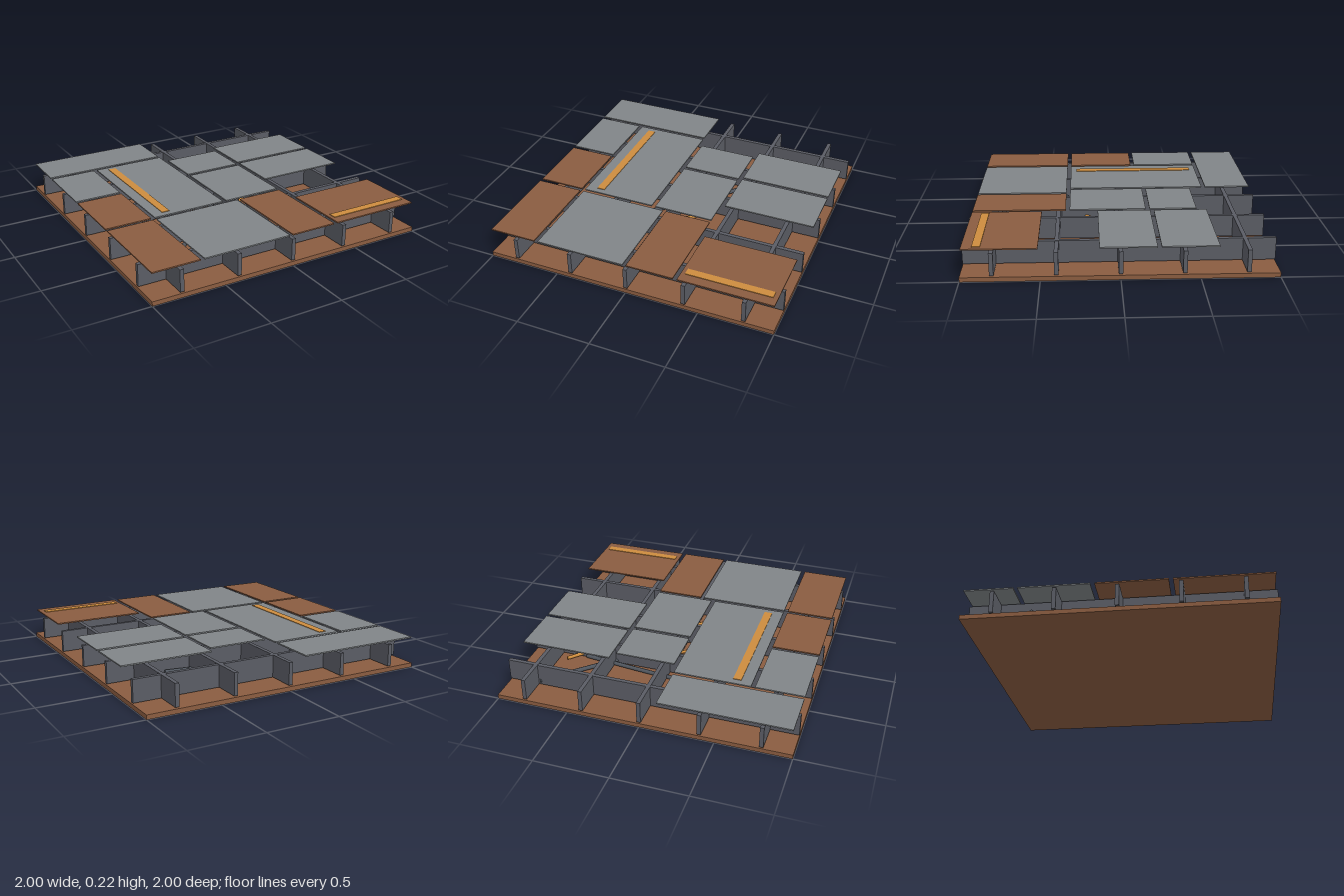
import * as THREE from 'three';

export function createModel() {
  const group = new THREE.Group();
  const mat = (name, color) => {
    const m = new THREE.MeshStandardMaterial({ color });
    m.name = name;
    return m;
  };
  const rust = mat('rust brown', 0x8a5c40);
  const steel = mat('plate grey', 0x808487);
  const iron = mat('beam grey', 0x5a5c64);
  const pipe = mat('pipe grey', 0x50565e);
  const orange = mat('warning orange', 0xcc8c3e);

  // Box given by its extents
  const box = (name, material, x0, x1, y0, y1, z0, z1) => {
    const mesh = new THREE.Mesh(new THREE.BoxGeometry(x1 - x0, y1 - y0, z1 - z0), material);
    mesh.position.set((x0 + x1) / 2, (y0 + y1) / 2, (z0 + z1) / 2);
    mesh.name = name;
    group.add(mesh);
  };

  // Base sheet
  box('baseSheet', rust, -1, 1, 0, 0.03, -1, 1);

  // Crossing support beams
  for (const p of [-0.8, -0.4, 0, 0.4, 0.8]) {
    box('lengthwiseBeam', iron, p - 0.0135, p + 0.0135, 0.04, 0.19, -1, 1);
    box('crosswiseBeam', iron, -1, 1, 0.04, 0.189, p - 0.0135, p + 0.0135);
  }

  // Floor plates: material, x range, z range
  const plates = [
    [steel, -0.99, -0.118, -0.99, -0.667],
    [steel, -0.99, -0.665, -0.64, -0.173],
    [rust, -0.99, -0.665, -0.146, 0.323],
    [rust, -0.99, -0.665, 0.35, 0.985],
    [steel, -0.638, -0.118, -0.64, 0.323],
    [steel, -0.638, -0.022, 0.35, 0.985],
    [rust, 0.002, 0.325, 0.35, 0.985],
    [steel, -0.09, 0.325, -0.548, -0.225],
    [steel, -0.09, 0.325, -0.198, 0.323],
    [steel, 0.353, 0.987, -0.613, -0.252],
    [steel, 0.353, 0.987, -0.227, 0.132],
    [rust, 0.353, 0.987, 0.512, 0.985],
  ];
  for (const [m, x0, x1, z0, z1] of plates) box('floorPlate', m, x0, x1, 0.206, 0.215, z0, z1);

  // Painted stripes
  box('longStripe', orange, -0.563, -0.508, 0.214, 0.219, -0.597, 0.28);
  box('shortStripe', orange, 0.38, 0.957, 0.214, 0.219, 0.865, 0.918);

  // Sagging pipes and cables between the beams
  const cable = (name, material, radius, points) => {
    const curve = new THREE.CatmullRomCurve3(points.map((p) => new THREE.Vector3(...p)));
    const mesh = new THREE.Mesh(new THREE.TubeGeometry(curve, 32, radius, 8), material);
    mesh.name = name;
    group.add(mesh);
    for (const [i, s] of [[0, -1], [1, 1]]) {
      const cap = new THREE.Mesh(new THREE.CircleGeometry(radius, 8), material);
      cap.name = name + 'End';
      cap.position.copy(curve.getPointAt(i));
      cap.lookAt(cap.position.clone().addScaledVector(curve.getTangentAt(i), s));
      group.add(cap);
    }
  };
  cable('diagonalPipe', pipe, 0.015, [[0.78, 0.065, -0.81], [0, 0.048, -0.02], [-0.78, 0.065, 0.76]]);
  cable('crossPipe', pipe, 0.014, [[-0.93, 0.065, -0.555], [0, 0.048, -0.48], [0.6, 0.06, -0.43]]);
  cable('diagonalCable', orange, 0.012, [[0.72, 0.06, -0.5], [0.5, 0.052, -0.24], [0.34, 0.046, -0.09],
    [-0.1, 0.046, 0.31], [-0.3, 0.055, 0.5]]);
  cable('curvedCable', orange, 0.011, [[-0.05, 0.048, -0.14], [0.05, 0.046, -0.2], [0.145, 0.046, -0.212],
    [0.24, 0.046, -0.2], [0.34, 0.048, -0.09]]);

  return group;
}
